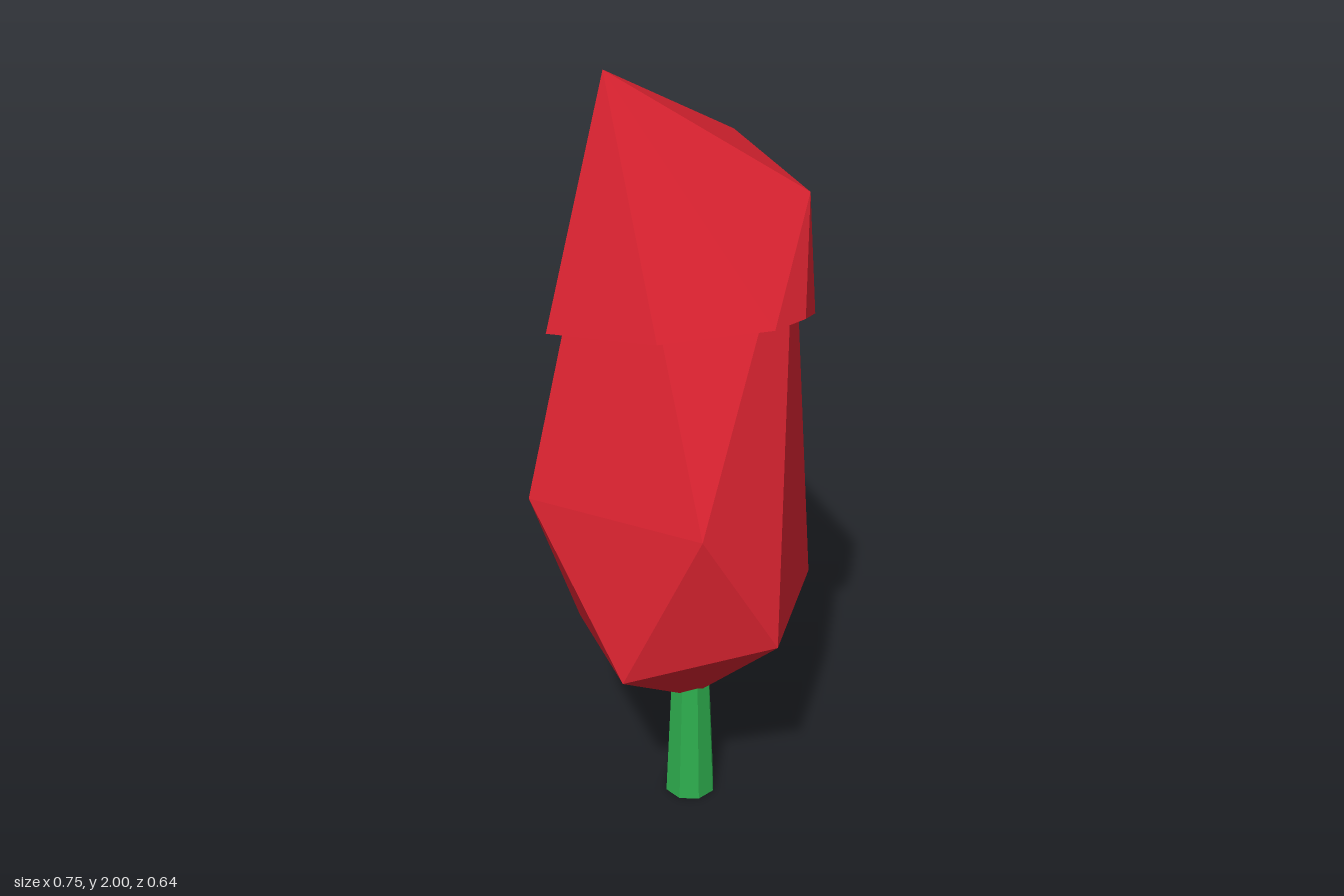
import * as THREE from 'three';

const red = new THREE.MeshStandardMaterial({ name: 'petalRed', color: 0xe02432 });
const green = new THREE.MeshStandardMaterial({ name: 'stemGreen', color: 0x2eae4e });
red.flatShading = green.flatShading = true;

// Flat-sided solid from corner points; each face is a convex polygon
function faceted(name, faces, material) {
  const pos = [];
  for (const f of faces) {
    for (let i = 1; i < f.length - 1; i++) pos.push(...f[0], ...f[i], ...f[i + 1]);
  }
  const geo = new THREE.BufferGeometry();
  geo.setAttribute('position', new THREE.Float32BufferAttribute(pos, 3));
  geo.computeVertexNormals();
  const mesh = new THREE.Mesh(geo, material);
  mesh.name = name;
  return mesh;
}

// Bud: a stretched twenty-sided solid built from two rings of five and two tips
function createBud() {
  const top = [-0.16, 1.95, 0.04];
  const bottom = [0.045, 0.29, 0];
  const lower = [[0.37, 0.6, -0.005], [0.15, 0.61, 0.312], [-0.205, 0.51, 0.19], [-0.2, 0.49, -0.17], [0.13, 0.615, -0.32]];
  const upper = [[0.195, 1.72, 0.225], [-0.05, 0.95, 0.32], [-0.375, 0.97, 0.015], [-0.15, 0.94, -0.303], [0.195, 1.72, -0.175]];
  const faces = [];
  for (let i = 0; i < 5; i++) {
    const j = (i + 1) % 5;
    faces.push(
      [top, upper[j], upper[i]],
      [upper[i], lower[j], lower[i]],
      [lower[j], upper[i], upper[j]],
      [bottom, lower[i], lower[j]],
    );
  }
  return faceted('bud', faces, red);
}

// Cap: slightly larger shell over the bud's upper half, with a closed underside
function createCap() {
  const top = [-0.18, 2, 0.04];
  const p = [0.222, 1.745, 0.25];
  const q = [0.222, 1.745, -0.2];
  const r = [
    [0.275, 1.42, 0.183], [0.21, 1.455, 0.275], [0.13, 1.445, 0.29],
    [-0.12, 1.415, 0.21], [-0.322, 1.395, 0.025], [-0.18, 1.395, -0.18],
    [0.06, 1.4, -0.263], [0.2, 1.4, -0.245], [0.275, 1.4, -0.15],
  ];
  const faces = [
    [top, p, q],
    [q, p, r[0], r[8]],
    [p, r[1], r[0]],
    [p, r[2], r[1]],
    [top, r[3], r[2], p],
    [top, r[4], r[3]],
    [top, r[5], r[4]],
    [top, q, r[6], r[5]],
    [q, r[7], r[6]],
    [q, r[8], r[7]],
  ];
  const centre = [0, 1.41, 0];
  r.forEach((a, i) => faces.push([centre, a, r[(i + 1) % r.length]]));
  return faceted('cap', faces, red);
}

// Stem: eight-sided taper
function createStem() {
  const stem = new THREE.Mesh(new THREE.CylinderGeometry(0.052, 0.067, 0.345, 8), green);
  stem.position.set(0.043, 0.1725, 0);
  stem.name = 'stem';
  return stem;
}

export function createModel() {
  const group = new THREE.Group();
  group.name = 'flowerBud';
  group.add(createBud(), createCap(), createStem());
  return group;
}
